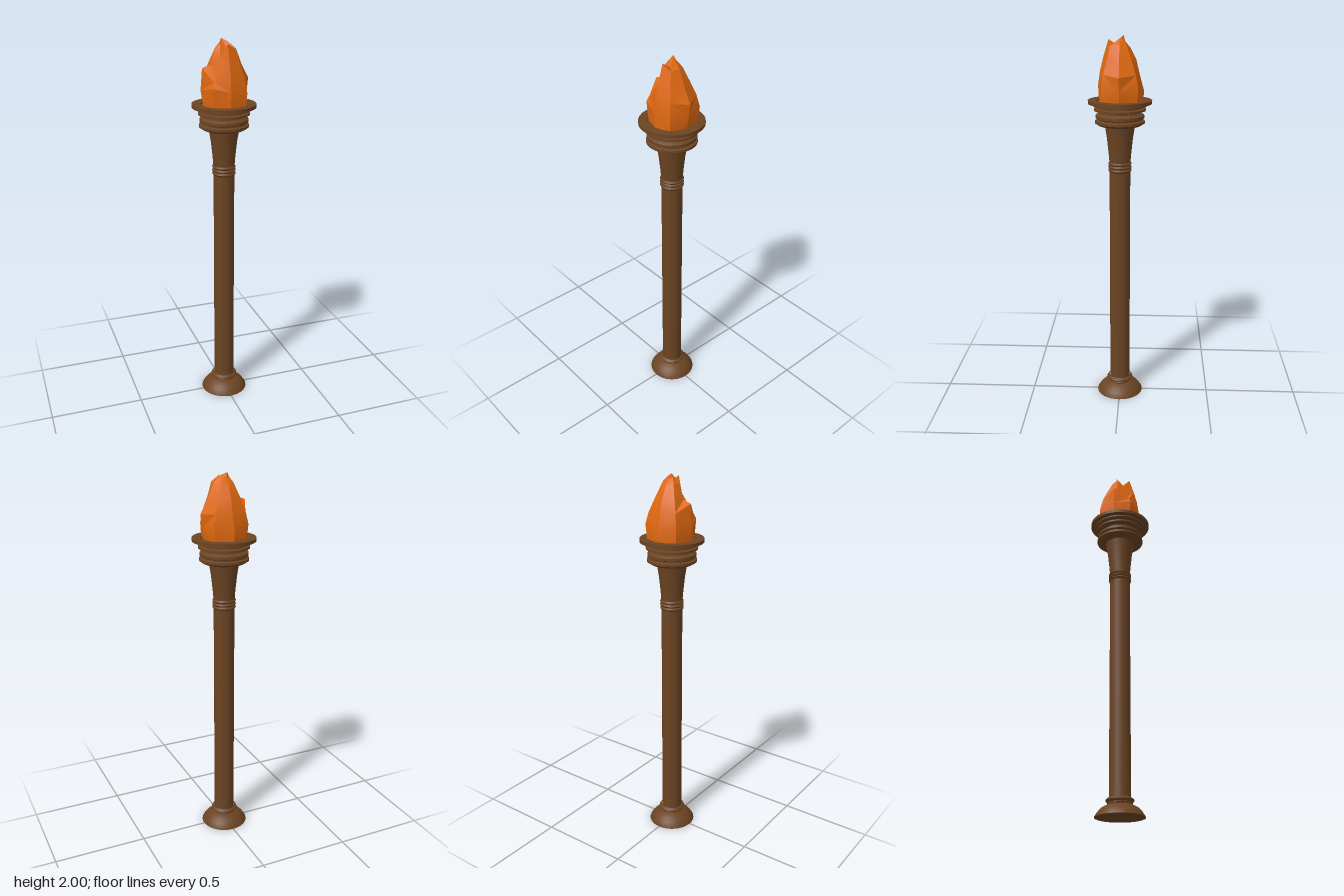
import * as THREE from 'three';
import { toCreasedNormals } from 'three/addons/utils/BufferGeometryUtils.js';

const brown = new THREE.MeshStandardMaterial({ color: 0x6b4423 });
brown.name = 'bronze brown';
const orange = new THREE.MeshStandardMaterial({ color: 0xdf6810 });
orange.name = 'flame orange';

// Turned part from a [radius, height] profile, with crisp profile edges
function turned(name, profile) {
  const points = profile.map(([r, y]) => new THREE.Vector2(r, y));
  const geometry = toCreasedNormals(new THREE.LatheGeometry(points, 32), 0.5);
  const mesh = new THREE.Mesh(geometry, brown);
  mesh.name = name;
  return mesh;
}

// Rounded collar bulging out of the shaft
function collar(name, inner, outer, y, height) {
  const profile = [];
  for (let i = 0; i <= 6; i++) {
    const t = i / 6;
    profile.push([inner + (outer - inner) * Math.sin(Math.PI * t), y + height * t]);
  }
  return turned(name, profile);
}

// Faceted flame: each ring holds [radius, height] at eight angles, starting at +z
function flameGeometry() {
  const rings = [
    [[0.108, 1.66], [0.125, 1.66], [0.108, 1.66], [0.125, 1.66], [0.118, 1.66], [0.12, 1.66], [0.11, 1.66], [0.115, 1.66]],
    [[0.112, 1.75], [0.13, 1.74], [0.122, 1.73], [0.135, 1.75], [0.124, 1.72], [0.13, 1.75], [0.124, 1.75], [0.124, 1.77]],
    [[0.102, 1.82], [0.115, 1.81], [0.13, 1.8], [0.118, 1.81], [0.1, 1.81], [0.112, 1.82], [0.115, 1.86], [0.108, 1.8]],
    [[0.085, 1.89], [0.088, 1.88], [0.093, 1.87], [0.085, 1.88], [0.083, 1.88], [0.085, 1.88], [0.07, 1.875], [0.066, 1.83]],
    [[0.058, 1.98], [0.068, 1.95], [0.055, 1.955], [0.05, 1.95], [0.052, 1.94], [0.05, 1.95], [0.046, 1.95], [0.045, 1.92]],
    [[0.012, 1.95], [0.015, 1.955], [0.02, 1.985], [0.018, 1.985], [0.026, 1.97], [0.025, 1.98], [0.022, 1.975], [0.018, 1.955]],
  ];
  const sides = 8, positions = [], index = [];
  for (const ring of rings) {
    ring.forEach(([r, y], k) => {
      const a = k * Math.PI * 2 / sides;
      positions.push(r * Math.sin(a), y, r * Math.cos(a));
    });
  }
  const tip = positions.length / 3;
  positions.push(-0.01, 2, -0.018);
  for (let j = 0; j < rings.length; j++) {
    for (let k = 0; k < sides; k++) {
      const a = j * sides + k, b = j * sides + (k + 1) % sides;
      if (j === rings.length - 1) index.push(a, b, tip);
      else if ((j + k) % 2) index.push(a, b, b + sides, a, b + sides, a + sides);
      else index.push(a, b, a + sides, b, b + sides, a + sides);
    }
  }
  const geometry = new THREE.BufferGeometry();
  geometry.setAttribute('position', new THREE.Float32BufferAttribute(positions, 3));
  geometry.setIndex(index);
  return toCreasedNormals(geometry, 0.4);
}

export function createModel() {
  const group = new THREE.Group();

  // Domed foot
  group.add(turned('foot', [
    [0, 0], [0.127, 0], [0.125, 0.006], [0.11, 0.028], [0.092, 0.046], [0.07, 0.058], [0.056, 0.064],
  ]));
  group.add(collar('footCollarLower', 0.058, 0.064, 0.06, 0.014));
  group.add(collar('footCollarUpper', 0.058, 0.072, 0.07, 0.026));

  // Shaft with paired neck rings
  group.add(turned('shaft', [[0.055, 0.06], [0.055, 1.34]]));
  for (let i = 0; i < 3; i++) {
    group.add(collar('neckRing' + (i + 1), 0.055, 0.062, 1.298 + i * 0.018, 0.018));
  }

  // Flared neck
  group.add(turned('flaredNeck', [[0.055, 1.34], [0.06, 1.4], [0.068, 1.475], [0.08, 1.55]]));

  // Ringed bowl with a wide rim and shallow dish
  group.add(turned('bowl', [
    [0.07, 1.545], [0.11, 1.545], [0.129, 1.557], [0.129, 1.569], [0.115, 1.574],
    [0.115, 1.579], [0.126, 1.584], [0.126, 1.598], [0.118, 1.604], [0.105, 1.61],
    [0.105, 1.616], [0.134, 1.622], [0.134, 1.632], [0.115, 1.636], [0.115, 1.641],
    [0.142, 1.647], [0.142, 1.655], [0.166, 1.658], [0.166, 1.675],
    [0.12, 1.675], [0.118, 1.668], [0, 1.668],
  ]));

  const flame = new THREE.Mesh(flameGeometry(), orange);
  flame.name = 'flame';
  group.add(flame);
  return group;
}
